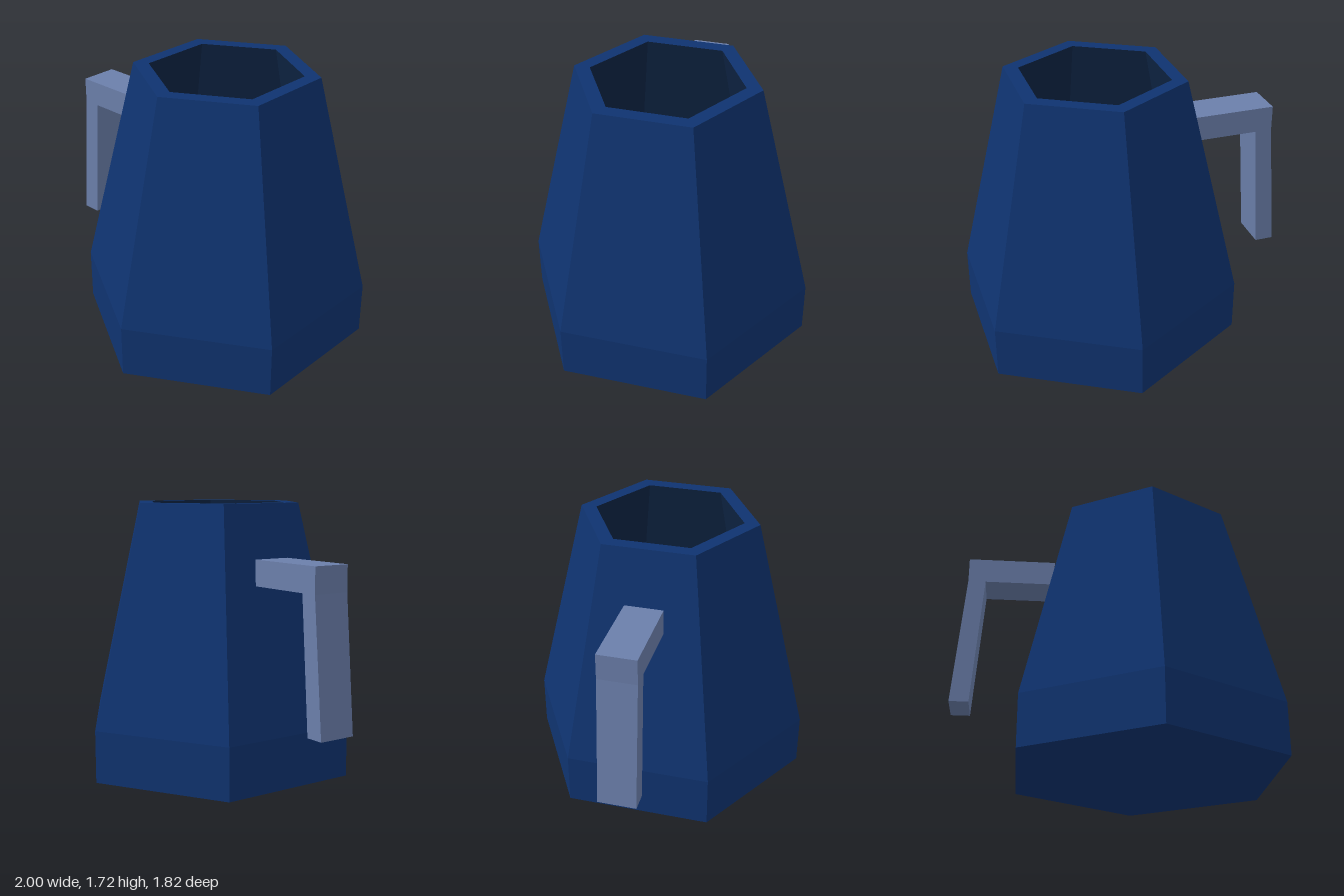
import * as THREE from 'three';

const mat = (name, color) =>
  new THREE.MeshStandardMaterial({ name, color, flatShading: true });

// Six-sided shell turned from a list of [radius, height] pairs
function hexLathe(name, profile, material) {
  const points = profile.map(([r, y]) => new THREE.Vector2(r, y));
  const mesh = new THREE.Mesh(new THREE.LatheGeometry(points, 6), material);
  mesh.name = name;
  return mesh;
}

export function createModel() {
  const model = new THREE.Group();
  model.name = 'mug';
  const navy = mat('navy body', 0x0f3370);
  const dark = mat('dark interior', 0x0e2444);
  const slate = mat('slate handle', 0x6b7fab);

  // Outer wall, underside and flat lip
  const vessel = new THREE.Group();
  vessel.name = 'vessel';
  vessel.position.x = 0.21;
  vessel.add(
    hexLathe('body', [[0, 0], [0.91, 0], [0.91, 0.33], [0.567, 1.72], [0.47, 1.72]], navy),
    // Hollow inside, following the outer wall down to the floor
    hexLathe('interior', [[0.47, 1.72], [0.81, 0.33], [0.81, 0.1], [0, 0.1]], dark)
  );
  model.add(vessel);

  // Hooked handle: level arm with a slanted grip, open at the lower end
  const outline = [
    [-0.38, 1.39], [-0.93, 1.39], [-0.93, 1.23], [-1, 0.4],
    [-0.88, 0.4], [-0.82, 1.23], [-0.38, 1.23],
  ].map(([x, y]) => new THREE.Vector2(x, y));
  const handleGeo = new THREE.ExtrudeGeometry(new THREE.Shape(outline), {
    depth: 0.24, bevelEnabled: false,
  });
  handleGeo.translate(0, 0, -0.12);
  const handle = new THREE.Mesh(handleGeo, slate);
  handle.name = 'handle';
  model.add(handle);

  return model;
}
